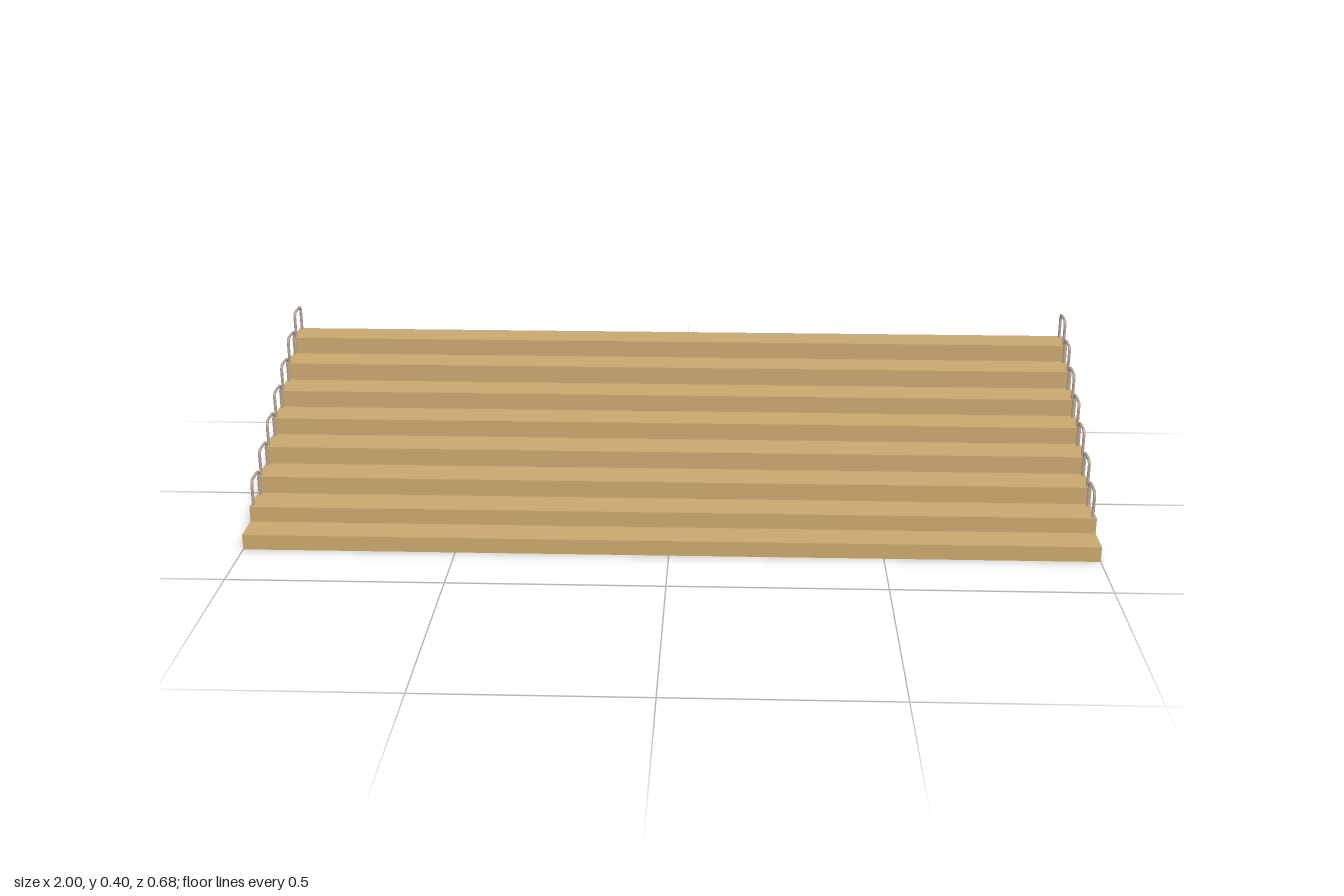
import * as THREE from 'three';

// Front edge (z) and tread height (y) of each step, from front to back
const EDGES = [0.338, 0.26, 0.175, 0.088, 0, -0.085, -0.171, -0.255, -0.338];
const HEIGHTS = [0.037, 0.075, 0.117, 0.16, 0.202, 0.244, 0.288, 0.33];
const RAIL_X = 0.992, TUBE = 0.0035, HALF = 0.0325, RISE = 0.0635, BEND = 0.014;

// Upside-down U with rounded corners, standing in the z-y plane
function railGeometry() {
  const v = (z, y) => new THREE.Vector3(0, y, z);
  const path = new THREE.CurvePath();
  const k = BEND * 0.45;
  path.add(new THREE.LineCurve3(v(HALF, 0), v(HALF, RISE - BEND)));
  path.add(new THREE.CubicBezierCurve3(v(HALF, RISE - BEND), v(HALF, RISE - k), v(HALF - k, RISE), v(HALF - BEND, RISE)));
  path.add(new THREE.LineCurve3(v(HALF - BEND, RISE), v(BEND - HALF, RISE)));
  path.add(new THREE.CubicBezierCurve3(v(BEND - HALF, RISE), v(k - HALF, RISE), v(-HALF, RISE - k), v(-HALF, RISE - BEND)));
  path.add(new THREE.LineCurve3(v(-HALF, RISE - BEND), v(-HALF, 0)));
  return new THREE.TubeGeometry(path, 60, TUBE, 10, false);
}

export function createModel() {
  const model = new THREE.Group();
  model.name = 'steppedStand';
  const wood = new THREE.MeshStandardMaterial({ color: 0xc8a76e });
  const metal = new THREE.MeshStandardMaterial({ color: 0xb5a599, side: THREE.DoubleSide });

  // Solid stepped body: side profile (shape x = -z) extruded along x
  const profile = new THREE.Shape();
  profile.moveTo(-EDGES[0], 0);
  profile.lineTo(-EDGES[8], 0);
  for (let i = 7; i >= 0; i--) {
    profile.lineTo(-EDGES[i + 1], HEIGHTS[i]);
    profile.lineTo(-EDGES[i], HEIGHTS[i]);
  }
  profile.closePath();
  const body = new THREE.ExtrudeGeometry(profile, { depth: 2, bevelEnabled: false });
  body.translate(0, 0, -1).rotateY(Math.PI / 2);
  const steps = new THREE.Mesh(body, wood);
  steps.name = 'steps';
  model.add(steps);

  // Hoop rails at both ends of every step but the lowest
  const hoop = railGeometry();
  for (const side of [1, -1]) {
    const rails = new THREE.Group();
    rails.name = side > 0 ? 'leftRails' : 'rightRails';
    for (let i = 1; i < HEIGHTS.length; i++) {
      const rail = new THREE.Mesh(hoop, metal);
      rail.name = 'rail' + i;
      rail.position.set(side * RAIL_X, HEIGHTS[i], (EDGES[i] + EDGES[i + 1]) / 2);
      rails.add(rail);
    }
    model.add(rails);
  }
  return model;
}
